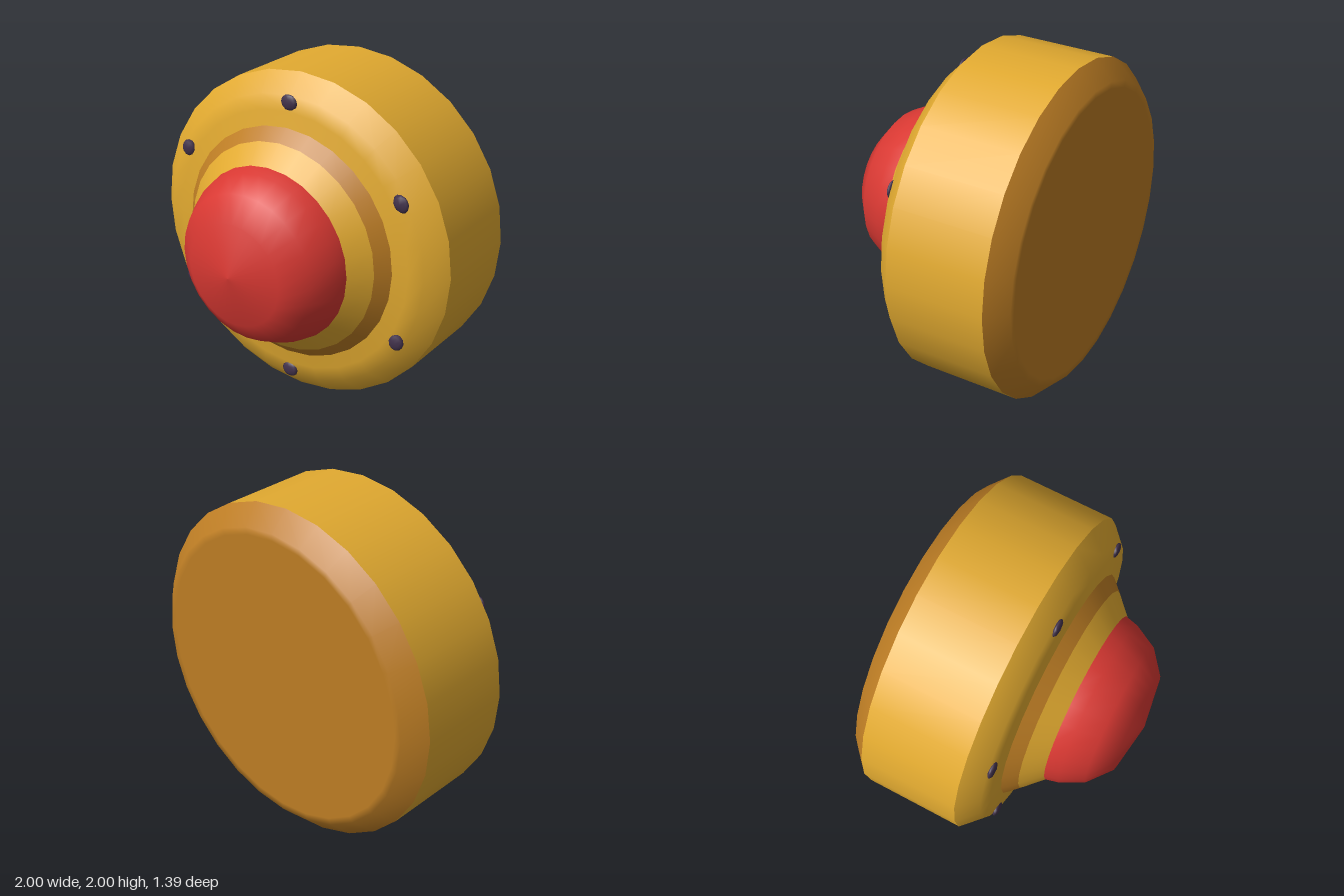
import * as THREE from 'three';

const SIDES = 28;

function material(name, color) {
  const m = new THREE.MeshStandardMaterial({ color });
  m.name = name;
  return m;
}

// Turned section around the z axis; profile holds [radius, z] from back to front
function turned(name, profile, mat) {
  const points = profile.map(([r, z]) => new THREE.Vector2(r, z));
  const geometry = new THREE.LatheGeometry(points, SIDES).rotateX(Math.PI / 2);
  const mesh = new THREE.Mesh(geometry, mat);
  mesh.name = name;
  return mesh;
}

export function createModel() {
  const yellow = material('yellow', 0xe2aa30);
  const ochre = material('ochre', 0xbd7d24);
  const red = material('red', 0xd83832);
  const dark = material('dark purple', 0x42324c);

  const model = new THREE.Group();
  model.name = 'domeButton';
  const unit = new THREE.Group();
  unit.name = 'unit';
  unit.position.y = 1;
  model.add(unit);

  // Housing, trim and dome, from back to front
  unit.add(
    turned('backPlate', [[0, -0.695], [0.85, -0.695], [0.89, -0.695], [1, -0.59]], ochre),
    turned('drumWall', [[1, -0.59], [1, 0]], yellow),
    turned('frontRim', [[1, 0], [0.89, 0.105], [0.8, 0.122], [0.71, 0.14]], yellow),
    turned('trimRing', [[0.71, 0.14], [0.64, 0.212]], ochre),
    turned('collar', [[0.64, 0.212], [0.53, 0.32]], yellow),
    turned('dome', [[0.53, 0.32], [0.51, 0.4], [0.44, 0.535], [0.305, 0.645], [0, 0.695]], red),
  );

  // Six flattened studs around the front rim
  const studGeometry = new THREE.SphereGeometry(0.055, 8, 6).scale(1, 0.85, 0.34);
  for (let i = 0; i < 6; i++) {
    const angle = (i * Math.PI) / 3;
    const stud = new THREE.Mesh(studGeometry, dark);
    stud.name = 'stud';
    stud.position.set(Math.sin(angle) * 0.85, Math.cos(angle) * 0.85, 0.115);
    stud.rotation.z = -angle;
    unit.add(stud);
  }

  return model;
}
